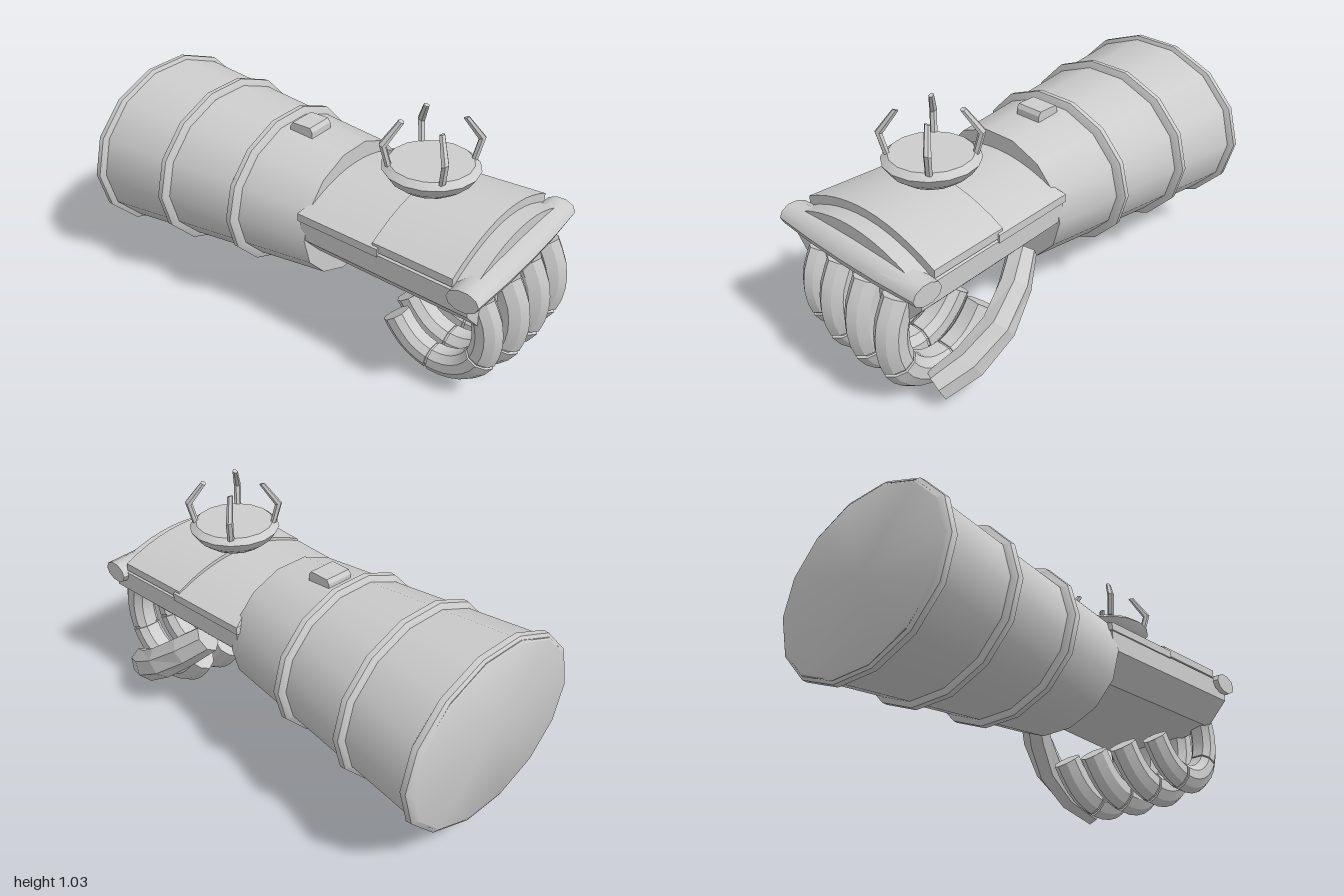
import * as THREE from 'three';
import { toCreasedNormals } from 'three/addons/utils/BufferGeometryUtils.js';

const V = (x, y, z) => new THREE.Vector3(x, y, z);

// Skin a list of equal-length closed rings, cap both ends, face outwards
function loft(rings, crease = 0.3) {
  const n = rings[0].length, pos = [], idx = [];
  const centre = r => r.reduce((s, p) => s.add(p), V(0, 0, 0)).divideScalar(n);
  const pts = [...rings.flat(), centre(rings[0]), centre(rings.at(-1))];
  pts.forEach(p => pos.push(p.x, p.y, p.z));
  const last = (rings.length - 1) * n, c0 = last + n, c1 = c0 + 1;
  for (let j = 0; j < n; j++) {
    const k = (j + 1) % n;
    for (let i = 0; i < last; i += n) idx.push(i + j, i + n + j, i + k, i + k, i + n + j, i + n + k);
    idx.push(c0, j, k, c1, last + k, last + j);
  }
  let volume = 0;
  for (let i = 0; i < idx.length; i += 3) {
    volume += pts[idx[i]].dot(V(0, 0, 0).crossVectors(pts[idx[i + 1]], pts[idx[i + 2]]));
  }
  if (volume < 0) idx.reverse();
  const g = new THREE.BufferGeometry();
  g.setAttribute('position', new THREE.Float32BufferAttribute(pos, 3));
  g.setIndex(idx);
  return toCreasedNormals(g, crease);
}

// Ellipse standing across the x axis
const ellipse = (x, y, ry, rz, n) => Array.from({ length: n }, (_, i) => {
  const a = (i / n) * Math.PI * 2;
  return V(x, y + ry * Math.sin(a), rz * Math.cos(a));
});

// Arched section across the hand, closed by a list of lower half points
function arch(x, w, crown, edge, lower, sweep = 0) {
  const ring = [];
  for (let i = 0; i <= 12; i++) {
    const t = i / 6 - 1;
    ring.push(V(x - sweep * Math.abs(t) ** 8, edge + (crown - edge) * (1 - t * t), w * t));
  }
  lower.forEach(([z, y]) => ring.push(V(x - sweep, y, z)));
  [...lower].reverse().forEach(([z, y]) => ring.push(V(x - sweep, y, -z)));
  return ring;
}

// Finger section: pairs of (sideways, outwards), ridged on the outside
const SECTION = [[0, 0.076], [0.034, 0.055], [0.058, 0.015], [0.056, -0.03], [0.03, -0.062],
  [-0.03, -0.062], [-0.056, -0.03], [-0.058, 0.015], [-0.034, 0.055]];

function fingerPart(curve, t0, t1, scale, steps) {
  const rings = [];
  for (let i = 0; i <= steps; i++) {
    const t = t0 + (t1 - t0) * i / steps;
    const p = curve.getPointAt(t), d = curve.getTangentAt(t);
    rings.push(SECTION.map(([s, o]) => V(p.x - d.y * o * scale, p.y + d.x * o * scale, s * scale)));
  }
  return loft(rings, 0.35);
}

export function createModel() {
  const group = new THREE.Group();
  const grey = new THREE.MeshStandardMaterial({ color: 0xcccccc });
  grey.name = 'light grey';
  const add = (name, geometry, parent = group) => {
    const m = new THREE.Mesh(geometry, grey);
    m.name = name;
    parent.add(m);
    return m;
  };

  // Tapered sleeve and its three raised bands
  add('sleeve', loft([ellipse(-0.995, 0.5, 0.383, 0.465, 14), ellipse(0.105, 0.5, 0.287, 0.345, 14)], 0.8));
  [[-0.972, 0.396, 0.485], [-0.612, 0.375, 0.452], [-0.247, 0.345, 0.416]].forEach(([x, ry, rz]) => {
    const profile = [[-0.028, 0.024], [-0.012, 0.002], [0.012, 0], [0.028, 0.03]];
    add('sleeveBand', loft(profile.map(([dx, dr]) => ellipse(x + dx, 0.5, ry - dr, rz - dr, 14)), 0.65));
  });

  // Small bevelled block on top of the sleeve
  const rect = (y, hx, hz) => [V(-0.127 - hx, y, -hz), V(-0.127 + hx, y, -hz), V(-0.127 + hx, y, hz), V(-0.127 - hx, y, hz)];
  add('sleeveBlock', loft([rect(0.78, 0.058, 0.063), rect(0.822, 0.058, 0.063), rect(0.84, 0.046, 0.063)]));

  // Hand body and the two overlapping plates on its back
  const hand = (x, w, low) => arch(x, w, 0.69, 0.59, [[w, 0.5], [w - 0.1, low + 0.02], [0.13, low]]);
  add('handBody', loft([hand(0.08, 0.335, 0.375), hand(0.88, 0.38, 0.375)], 0.35));
  const plate = (x, w, crown, edge, base, sweep) => arch(x, w, crown, edge, [[w, base]], sweep);
  add('rearHandPlate', loft([plate(0.1, 0.342, 0.71, 0.62, 0.585, 0.03), plate(0.47, 0.363, 0.71, 0.62, 0.585, 0)], 0.35));
  add('frontHandPlate', loft([plate(0.442, 0.352, 0.727, 0.635, 0.6, 0), plate(0.806, 0.372, 0.727, 0.635, 0.6, 0)], 0.35));

  // Knuckle bar, slightly thicker in the middle
  const bar = [-0.4, -0.2, 0, 0.2, 0.4].map(z => {
    const k = 1 - (z / 0.4) ** 2;
    return Array.from({ length: 10 }, (_, i) => {
      const a = (i / 10) * Math.PI * 2;
      return V(0.865 + (0.068 + 0.014 * k) * Math.cos(a), 0.577 + (0.046 + 0.016 * k) * Math.sin(a), z);
    });
  });
  add('knuckleBar', loft(bar, 0.7));

  // Curled fingers: an inner core carrying three armoured segments
  const curl = new THREE.CatmullRomCurve3([[0.875, 0.5], [0.92, 0.4], [0.925, 0.28], [0.885, 0.175], [0.795, 0.1],
    [0.68, 0.08], [0.57, 0.115], [0.5, 0.175], [0.455, 0.235]].map(([x, y]) => V(x, y, 0)));
  [[0.235, 0.87, 0.02], [0.08, 0.98, 0.008], [-0.082, 1, 0], [-0.247, 0.98, 0.008]].forEach(([z, s, lift], i) => {
    const finger = new THREE.Group();
    finger.name = 'finger' + (i + 1);
    add('fingerCore', fingerPart(curl, 0, 0.985, 0.88, 20), finger);
    [[0, 0.35, 1], [0.365, 0.69, 1.03], [0.705, 1, 1]].forEach(([a, b, k]) =>
      add('fingerSegment', fingerPart(curl, a, b, k, 6), finger));
    finger.scale.set(s, s, i === 0 ? 0.92 : 1.05);
    finger.position.set(0.72 * (1 - s), 0.25 * (1 - s) + lift * 0.5, z);
    group.add(finger);
  });

  // Thumb bending outwards, then in under the palm
  const thumbPath = [[0.3, 0.45, -0.32, 0.06], [0.4, 0.36, -0.375, 0.068], [0.53, 0.25, -0.412, 0.07],
    [0.67, 0.15, -0.395, 0.07], [0.8, 0.08, -0.345, 0.062]];
  const thumb = thumbPath.map(([x, y, z, r], i) => {
    const a = thumbPath[Math.max(0, i - 1)], b = thumbPath[Math.min(4, i + 1)];
    const d = V(b[0] - a[0], b[1] - a[1], b[2] - a[2]).normalize();
    const side = V(0, 0, 0).crossVectors(d, V(0, 1, 0)).normalize();
    const up = V(0, 0, 0).crossVectors(side, d);
    return Array.from({ length: 7 }, (_, j) => {
      const t = (j / 7) * Math.PI * 2;
      return V(x, y, z).addScaledVector(side, r * Math.cos(t)).addScaledVector(up, r * 1.1 * Math.sin(t));
    });
  });
  add('thumb', loft(thumb, 0.2));

  // Shallow dish above the hand
  const dish = [[0, 0.735], [0.09, 0.735], [0.13, 0.748], [0.172, 0.78], [0.2, 0.822], [0.172, 0.845], [0, 0.845]]
    .map(([r, y]) => new THREE.Vector2(r, y));
  add('dish', toCreasedNormals(new THREE.LatheGeometry(dish, 16), 0.42)).position.x = 0.475;

  // Four bent prongs on the dish
  for (const sx of [-1, 1]) for (const sz of [-1, 1]) {
    const path = [[0.122, 0.835, 0.015], [0.14, 0.93, 0.016], [0.09, 1.025, 0.012]];
    const rings = path.map(([o, y, r]) => Array.from({ length: 6 }, (_, i) => {
      const a = (i / 6) * Math.PI * 2;
      return V(0.475 + sx * (o + r * Math.cos(a)), y + 0.4 * r * Math.cos(a), sz * (o + r * Math.sin(a)));
    }));
    add('prong', loft(rings, 0.3));
  }
  return group;
}
